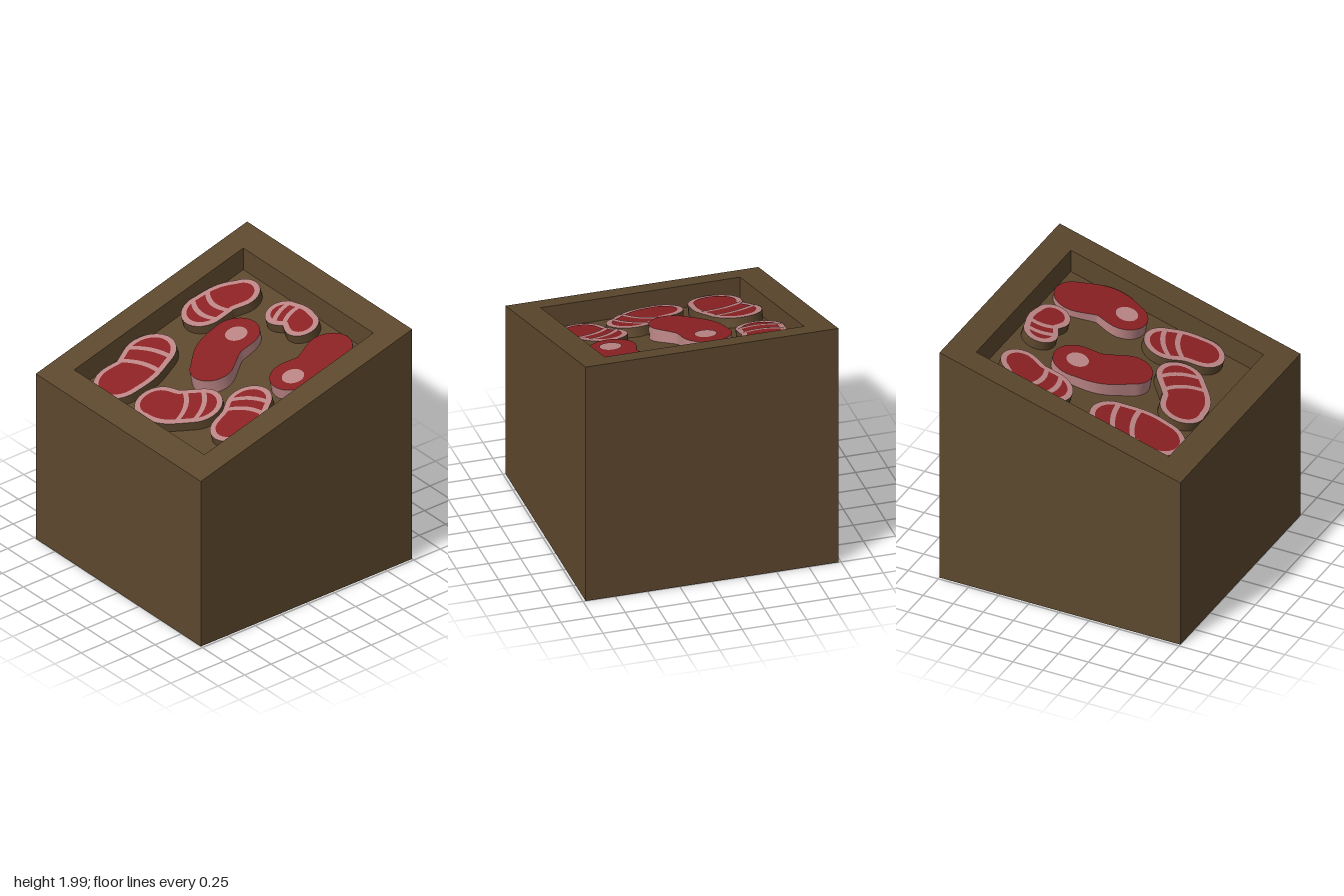
import * as THREE from 'three';
import { toCreasedNormals } from 'three/addons/utils/BufferGeometryUtils.js';

const SLOPE = 0.28, RIM = 1.71, FLOOR = 1.523; // heights at x = 0

function material(name, color) {
  const m = new THREE.MeshStandardMaterial({ color });
  m.name = name;
  return m;
}

// Centre line of a cut through three lobes (x, z, radius); the radius rides along as third coordinate
function spine(lobes) {
  return new THREE.CatmullRomCurve3(lobes.map(([x, z, r]) => new THREE.Vector3(x, -z, r)), false, 'catmullrom');
}

// Point at a distance from the centre line, at an angle to its direction
function around(line, t, angle, distance) {
  const p = line.getPoint(t), d = line.getTangent(t), a = Math.atan2(d.y, d.x) + angle;
  return new THREE.Vector2(p.x + Math.cos(a) * distance, p.y + Math.sin(a) * distance);
}

// Kidney outline: two sides joined by round ends, drawn in by an inset
function kidney(line, inset = 0) {
  const pts = [], steps = 14;
  for (const end of [1, 0]) {
    const side = end ? -Math.PI / 2 : Math.PI / 2;
    for (let i = 0; i <= steps; i++) {
      const t = end ? i / steps : 1 - i / steps;
      pts.push(around(line, t, side, line.getPoint(t).z - inset));
    }
    for (let i = 1; i < steps; i++) {
      pts.push(around(line, end, side + Math.PI * i / steps, line.getPoint(end).z - inset));
    }
  }
  return new THREE.Shape(pts);
}

// Curved band across a cut, bowed along the centre line
function band(line, t, bow, width) {
  const reach = line.getPoint(t).z - 0.02, front = [], back = [];
  for (let i = -6; i <= 6; i++) {
    const u = i / 6, along = bow * (1 - u * u);
    const corner = x => around(line, t, Math.atan2(u * reach, x), Math.hypot(u * reach, x));
    front.push(corner(along + width / 2));
    back.unshift(corner(along - width / 2));
  }
  return new THREE.Shape([...front, ...back]);
}

// Lays a plan geometry (y = 0 is its top face) on a sloping plane
function lay(geo, y0, slope) {
  const a = Math.atan(slope), pos = geo.attributes.position;
  for (let i = 0; i < pos.count; i++) {
    const x = pos.getX(i), y = pos.getY(i);
    pos.setX(i, x - y * Math.sin(a));
    pos.setY(i, y0 + slope * x + y * Math.cos(a));
  }
  geo.computeVertexNormals();
  return geo;
}

function slab(shape, depth, y0, slope) {
  const geo = new THREE.ExtrudeGeometry(shape, { depth, bevelEnabled: false });
  geo.rotateX(-Math.PI / 2).translate(0, -depth, 0);
  return toCreasedNormals(lay(geo, y0, slope), 0.6);
}

function plate(shape, height, y0, slope) {
  return lay(new THREE.ShapeGeometry(shape, 24).rotateX(-Math.PI / 2).translate(0, height, 0), y0, slope);
}

// Marbled cuts: lobes, positions of two fat bands and their bow
const marbledCuts = [
  { lobes: [[-.58, -.51, .2], [-.43, -.5, .195], [-.26, -.565, .205]], bands: [.6, 1], bow: .03 },
  { lobes: [[.29, -.59, .18], [.445, -.575, .17], [.56, -.515, .152]], bands: [0, .38], bow: -.05 },
  { lobes: [[-.565, -.085, .17], [-.53, .045, .18], [-.4, .2, .18]], bands: [.68, 1], bow: .04 },
  { lobes: [[-.39, .585, .165], [-.26, .55, .17], [-.15, .48, .175]], bands: [.58, 1], bow: .035 },
  { lobes: [[.615, -.08, .13], [.65, .03, .12], [.625, .135, .13]], bands: [0, .38], bow: -.025 },
];

// Thick cuts: lobes and the centre of a round bone
const thickCuts = [
  { lobes: [[-.1, -.02, .165], [.08, -.155, .18], [.255, -.19, .187]], bone: [.26, -.18] },
  { lobes: [[.23, .53, .175], [.405, .575, .185], [.6, .49, .178]], bone: [.22, .545] },
];

export function createModel() {
  const wood = material('brown wood', 0x5c472d);
  const meat = material('red meat', 0x8a2023);
  const fat = material('pale fat', 0xba8484);
  const model = new THREE.Group();
  model.name = 'meatCrate';
  const add = (parent, name, geo, mat) => {
    const mesh = new THREE.Mesh(geo, mat);
    mesh.name = name;
    parent.add(mesh);
  };

  // Crate walls with a slanted rim, and the solid floor of the tray
  const rect = (x, z0, z1) => [[-x, z1], [x, z1], [x, z0], [-x, z0]].map(([px, pz]) => new THREE.Vector2(px, -pz));
  const frame = new THREE.Shape(rect(1, -0.98, 0.98));
  frame.holes.push(new THREE.Path(rect(0.8, -0.775, 0.77)));
  const walls = new THREE.ExtrudeGeometry(frame, { depth: 1, bevelEnabled: false }).rotateX(-Math.PI / 2);
  const floor = new THREE.BoxGeometry(1.6, 1, 1.545).translate(0, 0.5, -0.0025);
  for (const [geo, top] of [[walls, RIM], [floor, FLOOR]]) {
    const pos = geo.attributes.position;
    for (let i = 0; i < pos.count; i++) {
      if (pos.getY(i) > 0.5) pos.setY(i, top + SLOPE * pos.getX(i));
    }
    geo.computeVertexNormals();
  }
  add(model, 'crateWalls', walls, wood);
  add(model, 'trayFloor', floor, wood);

  // Marbled cuts lie flat on the tray floor
  const top = FLOOR + 0.078;
  for (const { lobes, bands, bow } of marbledCuts) {
    const cut = new THREE.Group(), line = spine(lobes);
    cut.name = 'marbledCut';
    add(cut, 'fatRim', slab(kidney(line), 0.085, top, SLOPE), [fat, wood]);
    add(cut, 'leanMeat', plate(kidney(line, 0.043), 0.003, top, SLOPE), meat);
    for (const t of bands) add(cut, 'fatBand', plate(band(line, t, bow, 0.038), 0.006, top, SLOPE), fat);
    model.add(cut);
  }

  // Thick cuts lie at a gentler tilt
  for (const { lobes, bone } of thickCuts) {
    const cut = new THREE.Group();
    cut.name = 'thickCut';
    add(cut, 'meatSlab', slab(kidney(spine(lobes)), 0.13, 1.625, 0.2), [meat, fat]);
    const disc = new THREE.Shape().absarc(bone[0], -bone[1], 0.083, 0, Math.PI * 2);
    add(cut, 'bone', plate(disc, 0.004, 1.625, 0.2), fat);
    model.add(cut);
  }
  return model;
}
